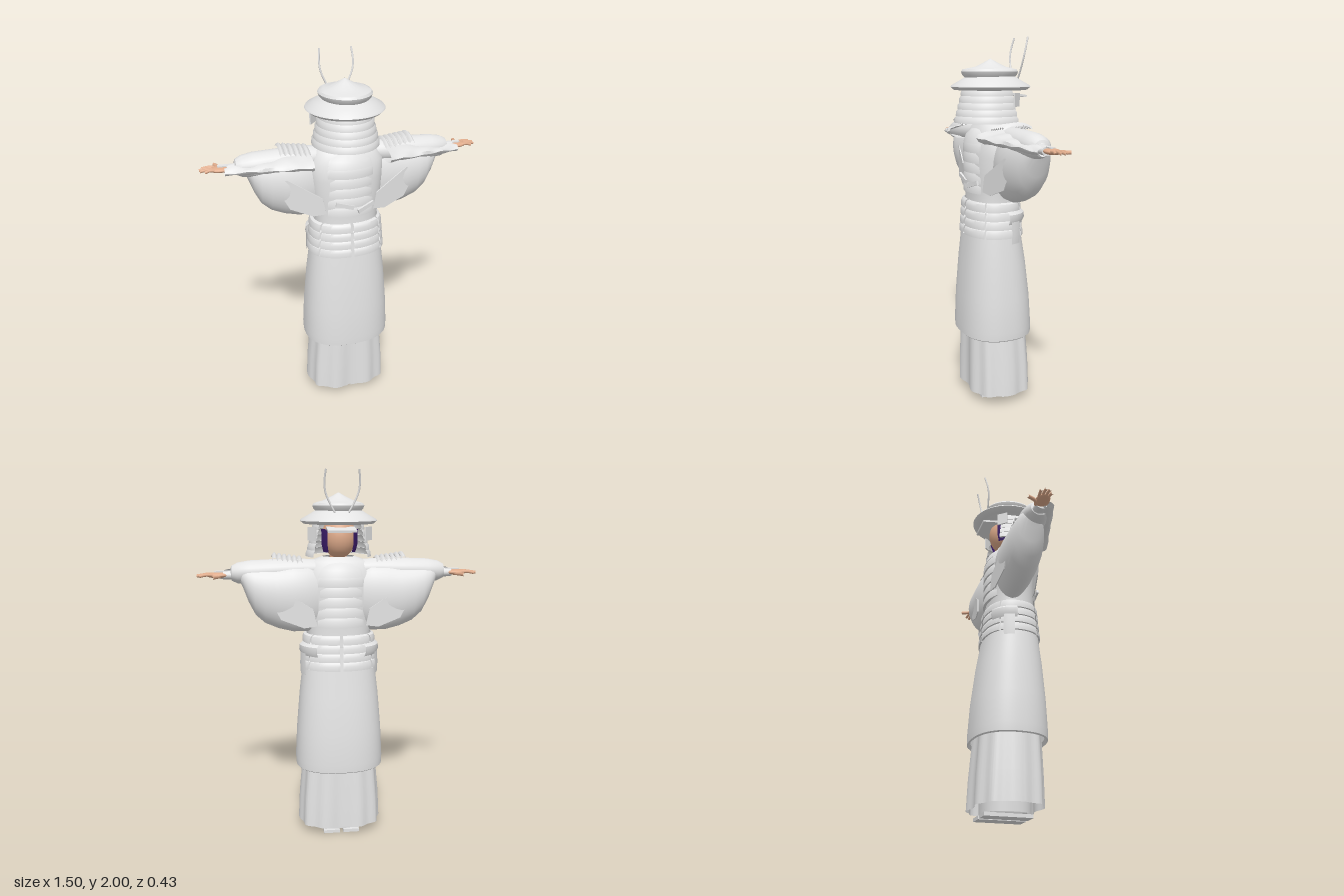
import * as THREE from 'three';
import { toCreasedNormals } from 'three/addons/utils/BufferGeometryUtils.js';

const cloth = new THREE.MeshStandardMaterial({ color: 0xe4e4e4, side: THREE.DoubleSide });
cloth.name = 'pale grey';
const skin = new THREE.MeshStandardMaterial({ color: 0xe0ac8c });
skin.name = 'skin';
const purple = new THREE.MeshStandardMaterial({ color: 0x3c1d6b, side: THREE.DoubleSide });
purple.name = 'purple';

const V = (x, y, z) => new THREE.Vector3(x, y, z);

function add(parent, name, geo, mat = cloth) {
  const m = new THREE.Mesh(geo, mat);
  m.name = name;
  parent.add(m);
  return m;
}

// surface f(u, v) sampled on a grid, with sharp edges kept
function grid(nu, nv, f) {
  const pos = [], idx = [];
  for (let j = 0; j <= nv; j++)
    for (let i = 0; i <= nu; i++) pos.push(...f(i / nu, j / nv));
  for (let j = 0; j < nv; j++)
    for (let i = 0; i < nu; i++) {
      const a = j * (nu + 1) + i, b = a + nu + 1;
      idx.push(a, a + 1, b + 1, a, b + 1, b);
    }
  const g = new THREE.BufferGeometry();
  g.setAttribute('position', new THREE.Float32BufferAttribute(pos, 3));
  g.setIndex(idx);
  return toCreasedNormals(g, 0.7);
}

// rings [y, rx, rz, cz] joined around y; angle 0 is +z, 90 degrees is +x
function shell(rings, { a0 = 0, a1 = 360, n = 2, seg = 64, fold = () => 1 } = {}) {
  const p = (t) => Math.sign(t) * Math.abs(t) ** (2 / n);
  return grid(seg, rings.length - 1, (u, v) => {
    const [y, rx, rz, cz = 0] = rings[Math.round(v * (rings.length - 1))];
    const a = THREE.MathUtils.degToRad(a0 + (a1 - a0) * u), k = fold(a, y);
    return [p(Math.sin(a)) * rx * k, y, cz + p(Math.cos(a)) * rz * k];
  });
}

function tube(points, r, seg = 16) {
  return new THREE.TubeGeometry(new THREE.CatmullRomCurve3(points), seg, r, 8);
}

function box(parent, name, size, at, rot = [0, 0, 0]) {
  const m = add(parent, name, new THREE.BoxGeometry(...size));
  m.position.set(...at);
  m.rotation.set(...rot);
}

function ball(parent, name, size, at, mat) {
  const m = add(parent, name, new THREE.SphereGeometry(1, 24, 16), mat);
  m.scale.set(...size);
  m.position.set(...at);
}

function makeArm() {
  const arm = new THREE.Group();
  // upper sleeve with a rounded cuff: x, radius
  const cross = [[0.13, 0.06], [0.2, 0.068], [0.35, 0.073], [0.48, 0.072], [0.54, 0.062], [0.57, 0.045], [0.575, 0.03]];
  add(arm, 'upperSleeve', grid(28, cross.length - 1, (u, v) => {
    const [x, r] = cross[Math.round(v * (cross.length - 1))], a = u * Math.PI * 2;
    return [x, 1.487 - 0.035 * (x - 0.13) + r * 0.88 * Math.cos(a), -0.018 + r * Math.sin(a)];
  }));
  // hanging sleeve bag: x, top, bottom, half depth
  const bag = [[0.12, 1.5, 1.18, 0.08], [0.17, 1.52, 1.155, 0.098], [0.25, 1.52, 1.155, 0.102], [0.33, 1.51, 1.175, 0.102],
    [0.4, 1.51, 1.205, 0.097], [0.45, 1.51, 1.25, 0.087], [0.485, 1.51, 1.32, 0.073], [0.51, 1.5, 1.39, 0.055], [0.535, 1.48, 1.45, 0.02]];
  add(arm, 'sleeveBag', grid(36, bag.length - 1, (u, v) => {
    const [x, t, b, h] = bag[Math.round(v * (bag.length - 1))], a = u * Math.PI * 2;
    return [x, (t + b) / 2 + (t - b) / 2 * Math.cos(a), -0.036 + h * Math.sin(a)];
  }));
  // fold of the sleeve thrown forward along the arm
  add(arm, 'sleeveFold', grid(30, 10, (u, v) => {
    const a = v * Math.PI * 1.25, s = 1 - u;
    const w = 0.003 * Math.sin(u * 23 + v * 9) + 0.003 * Math.sin(u * 9 - v * 13);
    return [0.2 + 0.43 * u, 1.462 + s * 0.03 + Math.cos(a) * (0.018 + 0.022 * s) + w,
      0.01 + Math.sin(a) * (0.03 + 0.125 * s) + w * 0.6];
  }));
  // pointed sleeve mouth flaps, front and back
  const flap = new THREE.Shape([[0.4, 1.385], [0.33, 1.4], [0.15, 1.29], [0.13, 1.2], [0.2, 1.19], [0.32, 1.235]]
    .map(([x, y]) => new THREE.Vector2(x, y)));
  for (const [z, turn] of [[0.122, 0.2], [-0.162, -0.1]]) {
    const m = add(arm, 'sleeveFlap', new THREE.ExtrudeGeometry(flap, { depth: 0.006, bevelEnabled: false }));
    m.position.z = z;
    m.rotation.y = turn;
  }
  // arched shoulder guard slats with rounded ridges
  for (let i = 0; i < 6; i++) {
    add(arm, 'shoulderSlat', grid(14, 4, (u, v) => {
      const t = u * 2 - 1;
      return [0.198 + (i + v) * 0.0265, 1.546 + i * 0.0035 + 0.014 * Math.sin(v * Math.PI) - 0.022 * t * t, 0.004 + 0.078 * t];
    }));
  }
  // cuff and hand strap
  const cuff = add(arm, 'cuff', new THREE.CylinderGeometry(0.03, 0.036, 0.08, 20));
  cuff.rotation.z = -Math.PI / 2;
  cuff.scale.x = 0.75;
  cuff.position.set(0.575, 1.463, -0.022);
  box(arm, 'handStrap', [0.09, 0.006, 0.024], [0.615, 1.482, -0.024]);
  // hand
  ball(arm, 'palm', [0.06, 0.015, 0.038], [0.643, 1.464, -0.03], skin);
  for (let i = 0; i < 4; i++) {
    const z = -0.055 + i * 0.016, reach = [0.735, 0.75, 0.748, 0.725][i];
    add(arm, 'finger', tube([V(0.66, 1.465, z), V(0.7, 1.468, z * 1.12), V(reach, 1.462, z * 1.3 + 0.005)], 0.0078), skin);
  }
  add(arm, 'thumb', tube([V(0.62, 1.46, -0.045), V(0.65, 1.458, -0.075), V(0.668, 1.458, -0.115)], 0.0095), skin);
  return arm;
}

export function createModel() {
  const model = new THREE.Group();

  // sandals
  for (const s of [-1, 1]) {
    box(model, 'sandalSole', [0.09, 0.018, 0.25], [s * 0.055, 0.009, -0.03]);
    ball(model, 'foot', [0.04, 0.035, 0.11], [s * 0.055, 0.035, -0.03], cloth);
  }

  // pleated trousers with a recessed middle
  const pleat = (a, y) => 1 - (0.025 * Math.cos(a * 10) + 0.025 + 0.05 * Math.exp(-((Math.sin(a) / 0.12) ** 2))) * (1.2 - y);
  add(model, 'trousers', shell([[0.05, 0.234, 0.182, -0.02], [0.2, 0.227, 0.178, -0.018], [0.45, 0.204, 0.165, -0.012]],
    { n: 2.7, seg: 160, fold: pleat }));
  add(model, 'trouserLining', shell([[0.02, 0.14, 0.125, -0.02], [0.25, 0.15, 0.13, -0.02]], { n: 2.4 }));

  // long skirt
  add(model, 'skirt', shell([[0.4, 0.225, 0.18, -0.01], [0.382, 0.237, 0.191, -0.01], [0.388, 0.243, 0.198, -0.01], [0.43, 0.245, 0.199, -0.01],
    [0.6, 0.236, 0.19, -0.008], [0.8, 0.219, 0.17, -0.004], [0.95, 0.201, 0.15], [1.08, 0.183, 0.135]], { n: 2.4, seg: 80 }));

  // hip armour: four rows of curved plates
  const cuts = [0, 52, 128, 180, 232, 308, 360];
  for (let row = 0; row < 4; row++) {
    const y = 0.952 + row * 0.047, k = 1 - row * 0.022;
    for (let i = 0; i < 6; i++) {
      add(model, 'hipPlate', shell([[y, 0.198 * k, 0.146 * k], [y, 0.213 * k, 0.16 * k], [y + 0.025, 0.213 * k, 0.16 * k],
        [y + 0.042, 0.206 * k, 0.153 * k], [y + 0.049, 0.19 * k, 0.14 * k]], { a0: cuts[i] + 1.5, a1: cuts[i + 1] - 1.5, n: 2.3, seg: 16 }));
    }
  }
  // sash knots with hanging tails behind the hips
  for (const s of [-1, 1]) {
    add(model, 'sashKnot', shell([[1.02, 0.205, 0.155], [1.05, 0.22, 0.17], [1.08, 0.218, 0.168], [1.1, 0.195, 0.145]],
      { a0: s * 95, a1: s * 145, n: 2.2, seg: 16 }));
    add(model, 'sashTail', shell([[0.92, 0.216, 0.165], [0.97, 0.218, 0.168], [1.04, 0.215, 0.165]],
      { a0: s * 100, a1: s * 120, n: 2.2, seg: 8 }));
  }

  // coat
  add(model, 'coat', shell([[1.08, 0.18, 0.13], [1.15, 0.172, 0.125], [1.25, 0.19, 0.127], [1.38, 0.2, 0.128], [1.47, 0.2, 0.115],
    [1.53, 0.16, 0.085], [1.555, 0.085, 0.06]], { n: 2.4 }));
  // plated cuirass, both faces
  for (const mid of [0, 180]) {
    const span = { a0: mid - 42, a1: mid + 42, seg: 18 };
    for (let i = 0; i < 5; i++) {
      const y = 1.185 + i * 0.054;
      add(model, 'cuirassPlate', shell([[y, 0.17, 0.128], [y, 0.183, 0.143], [y + 0.035, 0.183, 0.143], [y + 0.054, 0.17, 0.134]], span));
    }
    add(model, 'cuirassTop', shell([[1.45, 0.182, 0.14], [1.49, 0.165, 0.128], [1.52, 0.12, 0.1], [1.535, 0.05, 0.07]], span));
  }
  box(model, 'cord', [0.1, 0.022, 0.012], [-0.04, 1.255, 0.145], [0, 0, -0.3]);
  box(model, 'cord', [0.1, 0.022, 0.012], [0.075, 1.235, 0.14], [0, 0.3, 0.3]);

  // arms
  const left = makeArm(), right = makeArm();
  left.name = 'leftArm';
  right.name = 'rightArm';
  right.scale.x = -1;
  model.add(left, right);

  // head
  const neck = add(model, 'neck', new THREE.CylinderGeometry(0.045, 0.05, 0.14, 20), skin);
  neck.position.set(0, 1.56, 0);
  ball(model, 'face', [0.09, 0.115, 0.095], [0, 1.66, -0.022], skin);
  for (const s of [-1, 1]) {
    // purple cheek straps between face and neck guard
    add(model, 'cheekStrap', shell([[1.58, 0.095, 0.105], [1.62, 0.106, 0.118], [1.7, 0.108, 0.12]],
      { a0: s * 116, a1: s * 140, seg: 8 }), purple);
    box(model, 'helmetWing', [0.008, 0.07, 0.06], [s * 0.148, 1.677, -0.085], [0, s * 0.7, 0]);
  }

  // flared neck guard, open over the face
  for (let i = 0; i < 5; i++) {
    const y = 1.556 + i * 0.035, r = 0.176 - i * 0.009;
    add(model, 'neckGuardRow', shell([[y, r - 0.012, r, 0.01], [y, r, r + 0.012, 0.01], [y + 0.022, r - 0.002, r + 0.01, 0.01],
      [y + 0.036, r - 0.012, r - 0.002, 0.01]], { a0: -126, a1: 126, seg: 48 }));
  }

  // wide tiered hat with a pointed crown
  add(model, 'brim', shell([[1.74, 0.13, 0.14], [1.725, 0.17, 0.18], [1.727, 0.187, 0.197], [1.742, 0.205, 0.215], [1.75, 0.2, 0.21],
    [1.775, 0.155, 0.166], [1.8, 0.115, 0.125]]));
  add(model, 'crown', shell([[1.785, 0.115, 0.13, 0.005], [1.803, 0.132, 0.148, 0.005], [1.82, 0.138, 0.154, 0.005], [1.832, 0.13, 0.146, 0.005],
    [1.838, 0.11, 0.12, 0.003], [1.846, 0.08, 0.08], [1.868, 0.035, 0.036], [1.887, 0.001, 0.001]]));
  box(model, 'browPlate', [0.15, 0.012, 0.1], [0, 1.7, -0.13], [-0.15, 0, 0]);

  // curved horns
  for (const s of [-1, 1]) {
    add(model, 'horn', tube([V(s * 0.035, 1.785, -0.145), V(s * 0.06, 1.83, -0.148), V(s * 0.085, 1.89, -0.153),
      V(s * 0.09, 1.94, -0.162), V(s * 0.084, 1.998, -0.177)], 0.005, 24));
  }
  return model;
}
